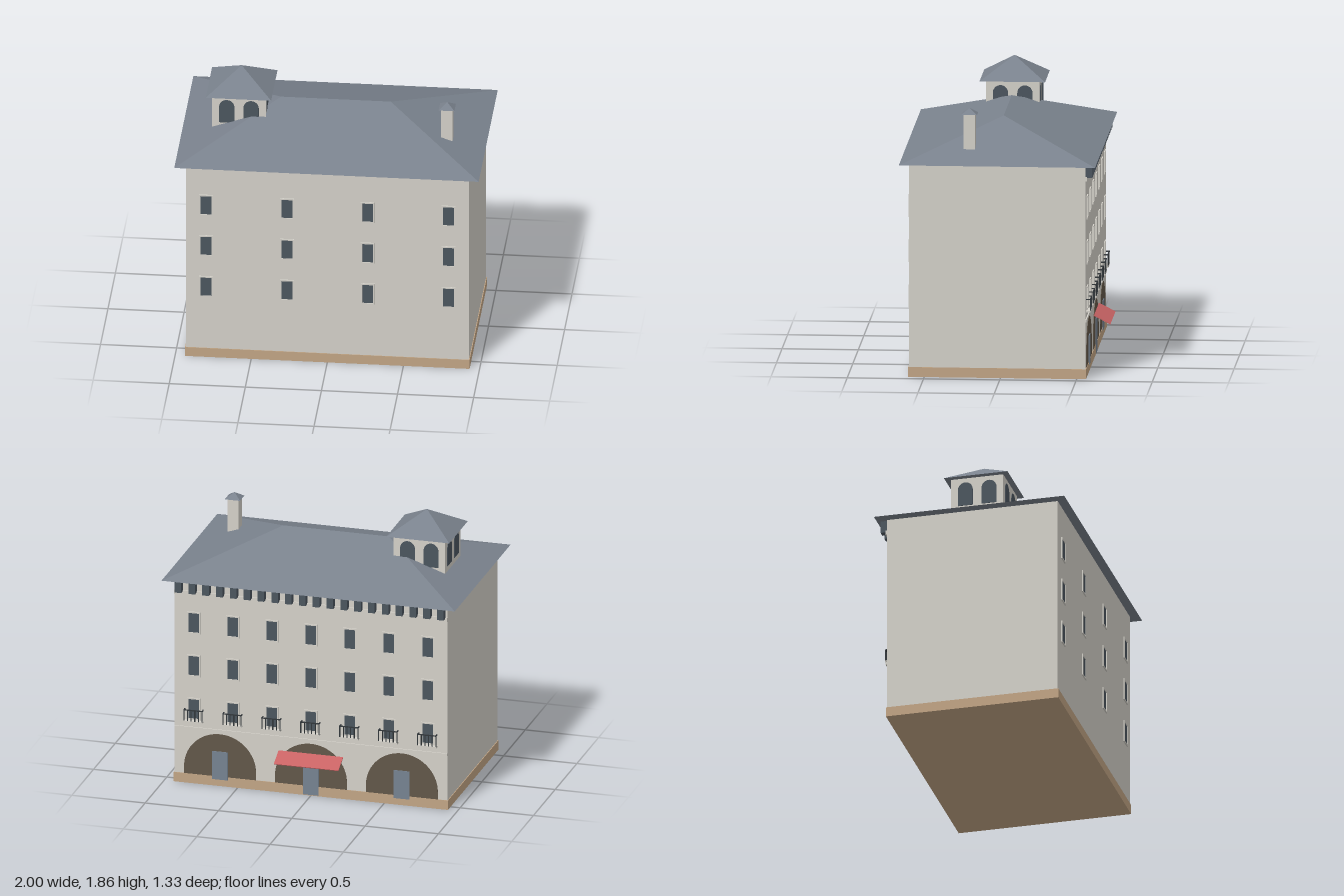
import * as THREE from 'three';
import { ConvexGeometry } from 'three/addons/geometries/ConvexGeometry.js';

const material = (name, color) => {
  const m = new THREE.MeshStandardMaterial({ color });
  m.name = name;
  return m;
};

export function createModel() {
  const wall = material('pale stone', 0xd4d1c9);
  const slate = material('slate', 0x7a828d);
  const glass = material('dark glass', 0x4c565f);
  const sandstone = material('sandstone', 0xc2a585);
  const archBrown = material('arch brown', 0x625749);
  const doorBlue = material('door blue', 0x768391);
  const red = material('awning red', 0xc86364);
  const iron = material('iron', 0x32373b);

  const model = new THREE.Group();
  model.name = 'building';
  const FRONT = 0.6, BACK = -0.556, MID = 0.02;

  const add = (parent, name, geometry, mat, x = 0, y = 0, z = 0) => {
    const mesh = new THREE.Mesh(geometry, mat);
    mesh.name = name;
    mesh.position.set(x, y, z);
    parent.add(mesh);
    return mesh;
  };
  const box = (parent, name, mat, w, h, d, x, y, z) =>
    add(parent, name, new THREE.BoxGeometry(w, h, d), mat, x, y, z);
  const group = (parent, name, x = 0, y = 0, z = 0) => {
    const g = new THREE.Group();
    g.name = name;
    g.position.set(x, y, z);
    parent.add(g);
    return g;
  };
  // Hipped or pyramid roof: eave rectangle rising to a ridge of half length r
  const hip = (hx, z0, z1, y0, y1, r, zr) => {
    const pts = [];
    for (const s of [-1, 1]) {
      pts.push(new THREE.Vector3(s * hx, y0, z0), new THREE.Vector3(s * hx, y0, z1));
      if (r > 0) pts.push(new THREE.Vector3(s * r, y1, zr));
    }
    if (r === 0) pts.push(new THREE.Vector3(0, y1, zr));
    return new ConvexGeometry(pts);
  };
  // Round-topped panel standing on y = 0
  const archShape = (radius, spring) => {
    const s = new THREE.Shape();
    s.moveTo(-radius, 0);
    s.lineTo(radius, 0);
    s.lineTo(radius, spring);
    s.absarc(0, spring, radius, 0, Math.PI, false);
    s.closePath();
    return s;
  };

  // Main body, plinth and roof
  box(model, 'walls', wall, 1.86, 1.36, FRONT - BACK, 0, 0.74, (FRONT + BACK) / 2);
  box(model, 'plinth', sandstone, 1.87, 0.065, FRONT - BACK + 0.01, 0, 0.0325, (FRONT + BACK) / 2);
  add(model, 'mainRoof', hip(1, -0.625, 0.662, 1.418, 1.64, 0.36, MID), slate);

  // Windows: raised frame around a thin pane
  const frameShape = new THREE.Shape([[-0.046, -0.076], [0.046, -0.076], [0.046, 0.076], [-0.046, 0.076]]
    .map(([x, y]) => new THREE.Vector2(x, y)));
  frameShape.holes.push(new THREE.Path([[-0.036, -0.067], [-0.036, 0.067], [0.036, 0.067], [0.036, -0.067]]
    .map(([x, y]) => new THREE.Vector2(x, y))));
  const frameGeo = new THREE.ExtrudeGeometry(frameShape, { depth: 0.008, bevelEnabled: false });
  const paneGeo = new THREE.BoxGeometry(0.074, 0.136, 0.004);
  const addWindow = (x, y, back) => {
    const g = group(model, 'window', x, y, back ? BACK : FRONT);
    if (back) g.rotation.y = Math.PI;
    add(g, 'windowFrame', frameGeo, wall);
    add(g, 'windowPane', paneGeo, glass, 0, 0, 0.001);
  };
  for (const y of [0.52, 0.822, 1.122]) {
    for (let i = 0; i < 4; i++) addWindow(-0.797 + i * 0.5313, y, false);
    for (let i = 0; i < 7; i++) addWindow(-0.797 + i * 0.2657, y, true);
  }

  // Balconies below the lowest back windows
  for (let i = 0; i < 7; i++) {
    const b = group(model, 'balcony', -0.797 + i * 0.2657, 0, BACK);
    box(b, 'balconySlab', wall, 0.13, 0.01, 0.03, 0, 0.435, -0.015);
    box(b, 'balconyRail', iron, 0.13, 0.007, 0.006, 0, 0.516, -0.027);
    for (let k = 0; k < 6; k++)
      box(b, 'baluster', iron, 0.006, 0.076, 0.005, -0.062 + k * 0.0248, 0.478, -0.027);
    for (const s of [-1, 1]) box(b, 'sideRail', iron, 0.006, 0.007, 0.028, s * 0.062, 0.516, -0.014);
  }

  // String course, cornice and eave brackets on the back
  box(model, 'stringCourse', wall, 1.86, 0.018, 0.01, 0, 0.384, BACK - 0.003);
  box(model, 'cornice', wall, 1.86, 0.03, 0.012, 0, 1.328, BACK - 0.004);
  for (let i = 0; i < 20; i++)
    box(model, 'eaveBracket', glass, 0.045, 0.082, 0.046, -0.895 + i * 0.0942, 1.377, BACK - 0.022);

  // Ground floor arches with doors
  const archGeo = new THREE.ExtrudeGeometry(archShape(0.245, 0.05), { depth: 0.004, bevelEnabled: false, curveSegments: 24 });
  for (const x of [-0.62, 0, 0.62]) {
    add(model, 'archPanel', archGeo, archBrown, x, 0.065, BACK - 0.003);
    const y0 = x === 0 ? 0.005 : 0.045;
    box(model, 'door', doorBlue, 0.108, 0.24 - y0, 0.008, x, (0.24 + y0) / 2, BACK - 0.004);
  }

  // Sloping awning over the middle door
  const awning = box(model, 'awning', red, 0.44, 0.006, 0.122, 0, 0.263, -0.615);
  awning.rotation.x = -Math.atan2(0.055, 0.108);

  // Belvedere tower with two arched openings per side
  const tower = group(model, 'tower', -0.62, 0, MID);
  box(tower, 'towerWalls', wall, 0.352, 0.3, 0.352, 0, 1.575, 0);
  add(tower, 'towerRoof', hip(0.215, -0.215, 0.215, 1.72, 1.86, 0, 0), slate);
  const openingGeo = new THREE.ExtrudeGeometry(archShape(0.05, 0.115), { depth: 0.004, bevelEnabled: false, curveSegments: 12 });
  for (let i = 0; i < 4; i++) {
    const side = group(tower, 'towerSide');
    side.rotation.y = i * Math.PI / 2;
    for (const s of [-1, 1]) add(side, 'towerOpening', openingGeo, glass, s * 0.08, 1.525, 0.175);
  }

  // Chimney with pyramid cap
  const chimney = group(model, 'chimney', 0.75, 0, 0.215);
  box(chimney, 'chimneyStack', wall, 0.076, 0.27, 0.076, 0, 1.59, 0);
  add(chimney, 'chimneyCap', hip(0.052, -0.052, 0.052, 1.722, 1.76, 0, 0), slate);

  return model;
}
